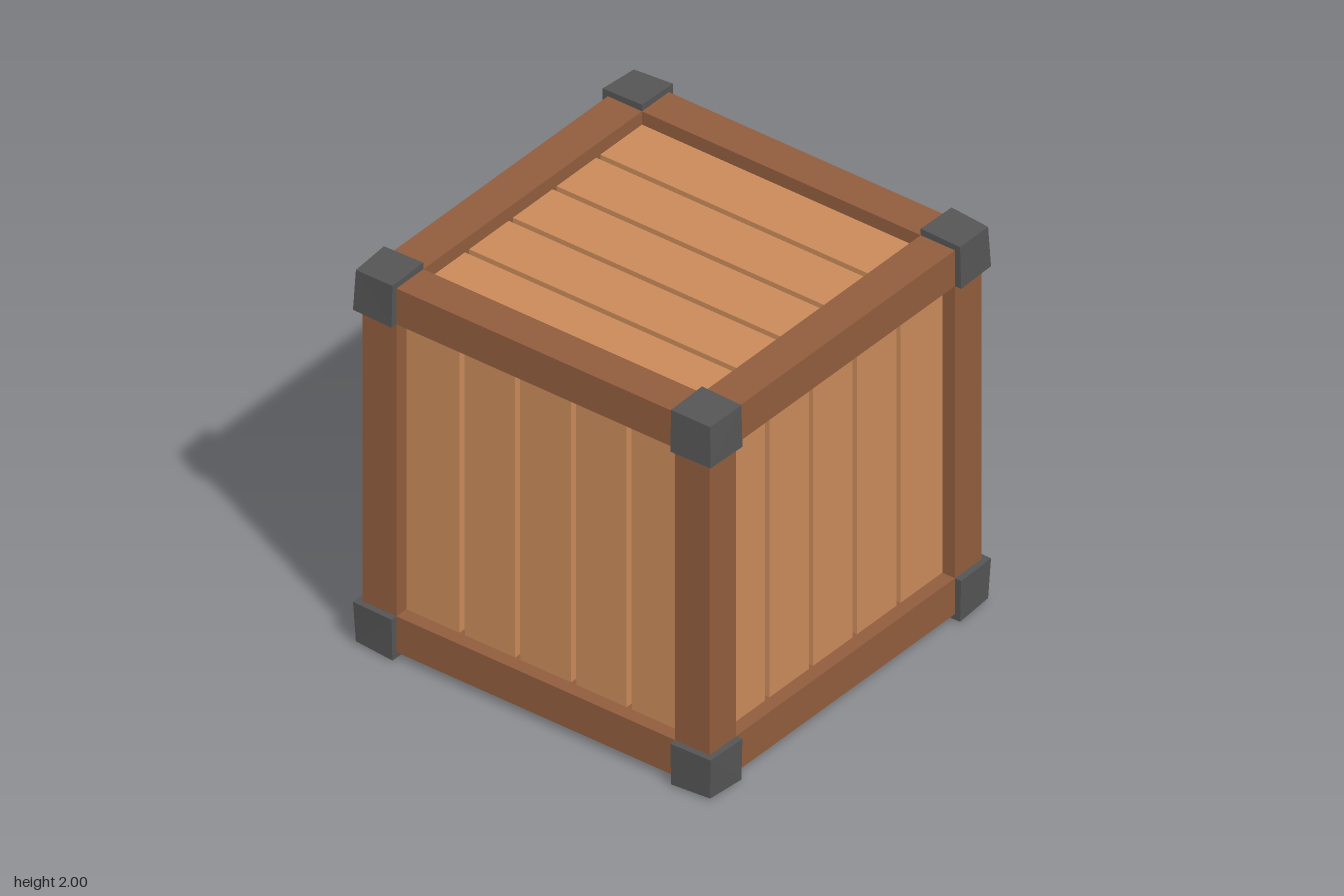
import * as THREE from 'three';

const OUT = 0.965;   // outer face of the frame bars
const INN = 0.775;   // inner edge of the frame bars
const PANEL = 0.895; // plank surface
const CORE = 0.86;   // floor of the grooves between planks

const paint = (color) => new THREE.MeshStandardMaterial({ color, flatShading: true });

function box(parent, name, mat, size, pos) {
  const mesh = new THREE.Mesh(new THREE.BoxGeometry(...size), mat);
  mesh.position.set(...pos);
  mesh.name = name;
  parent.add(mesh);
  return mesh;
}

// Corner block whose three outer faces taper slightly towards the tip
function cornerGeometry(sx, sy, sz) {
  const geo = new THREE.BoxGeometry(2, 2, 2);
  const p = geo.attributes.position;
  const reach = [INN, 1.0, 0.994, 0.985];
  for (let i = 0; i < p.count; i++) {
    const v = [p.getX(i), p.getY(i), p.getZ(i)];
    const s = [sx, sy, sz];
    const outer = v.map((c, k) => c * s[k] > 0);
    const r = reach[outer.filter(Boolean).length];
    p.setXYZ(i, ...s.map((c, k) => c * (outer[k] ? r : INN)));
  }
  geo.computeVertexNormals();
  return geo;
}

// One face of five vertical planks, facing +z
function plankPanel(name, mat) {
  const panel = new THREE.Group();
  panel.name = name;
  const edges = [[-0.79, -0.48], [-0.45, -0.17], [-0.14, 0.14], [0.17, 0.45], [0.48, 0.79]];
  for (const [a, b] of edges) {
    box(panel, 'plank', mat, [b - a, 1.58, 0.055], [(a + b) / 2, 0, PANEL - 0.0275]);
  }
  return panel;
}

export function createModel() {
  const model = new THREE.Group();
  model.name = 'crate';
  const crate = new THREE.Group();
  crate.name = 'crateBody';
  crate.position.y = 1;
  model.add(crate);

  const plankMat = paint(0xc98a5a);
  const frameMat = paint(0x915d3d);
  const metalMat = paint(0x555555);

  // Inner box seen through the grooves
  box(crate, 'innerBox', plankMat, [CORE * 2, CORE * 2, CORE * 2], [0, 0, 0]);

  // Four upright sides
  ['front', 'left', 'back', 'right'].forEach((side, i) => {
    const panel = plankPanel(side + 'Panel', plankMat);
    panel.rotation.y = i * Math.PI / 2;
    crate.add(panel);
  });

  // Lid and base, with planks running along x
  for (const s of [1, -1]) {
    const panel = plankPanel(s > 0 ? 'topPanel' : 'bottomPanel', plankMat);
    panel.rotation.set(-s * Math.PI / 2, 0, Math.PI / 2);
    crate.add(panel);
  }

  // Twelve frame bars, four along each axis
  const mid = (OUT + INN) / 2, thick = OUT - INN;
  const barNames = ['widthBar', 'uprightPost', 'depthBar'];
  for (let axis = 0; axis < 3; axis++) {
    for (const a of [-1, 1]) for (const b of [-1, 1]) {
      const size = [thick, thick, thick], pos = [0, 0, 0];
      size[axis] = INN * 2 + 0.04;
      pos[(axis + 1) % 3] = a * mid;
      pos[(axis + 2) % 3] = b * mid;
      box(crate, barNames[axis], frameMat, size, pos);
    }
  }

  // Eight metal corner caps; mirrored ones get their winding reversed
  for (const x of [-1, 1]) for (const y of [-1, 1]) for (const z of [-1, 1]) {
    // All signs are matched to box corners, so orient by absolute placement
    const geo = cornerGeometry(1, 1, 1);
    if (x * y * z < 0) {
      const idx = geo.index.array;
      for (let i = 0; i < idx.length; i += 3) [idx[i], idx[i + 1]] = [idx[i + 1], idx[i]];
    }
    // Inner corners sit at +INN, outer corners point away from the centre
    const p = geo.attributes.position;
    const src = new THREE.BoxGeometry(2, 2, 2).attributes.position;
    const reach = [INN, 1.0, 0.994, 0.985];
    for (let i = 0; i < p.count; i++) {
      const outer = [src.getX(i) > 0, src.getY(i) > 0, src.getZ(i) > 0];
      const r = reach[outer.filter(Boolean).length];
      p.setXYZ(i, x * (outer[0] ? r : INN), y * (outer[1] ? r : INN), z * (outer[2] ? r : INN));
    }
    geo.computeVertexNormals();
    const cap = new THREE.Mesh(geo, metalMat);
    cap.name = 'cornerCap';
    crate.add(cap);
  }
  return model;
}
